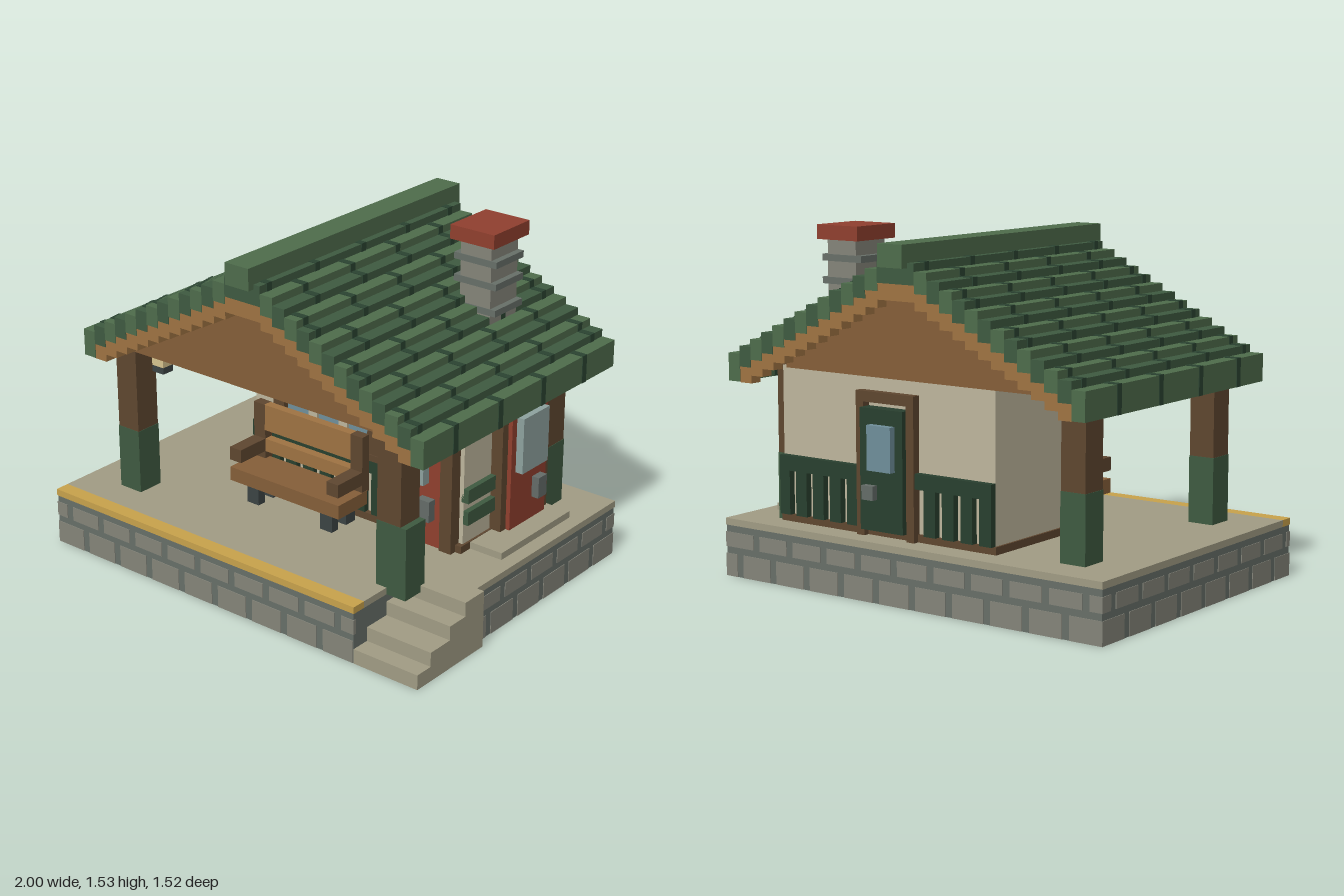
import * as THREE from 'three';

const C = {
  stone: 0x85857a, mortar: 0x687069, deck: 0xa29d85, yellow: 0xc9a34c, wall: 0xbfb79e,
  brown: 0x5f4730, wood: 0x865f39, lightWood: 0xa07443, red: 0x91402f, grey: 0x656d69,
  iron: 0x3c4444, glass: 0x8fa3a0, blue: 0x70909c, lamp: 0xd8c690,
  green: 0x3f5b41, greenLight: 0x4f6d4c, greenDark: 0x2b4432, doorGreen: 0x29402f,
};
const mats = {};
const mat = (c) => (mats[c] ??= new THREE.MeshStandardMaterial({ color: C[c], flatShading: true }));

export function createModel() {
  const root = new THREE.Group();
  root.name = 'porchHouse';
  const group = (name) => {
    const g = new THREE.Group();
    g.name = name;
    root.add(g);
    return g;
  };
  // Box given by its extents on each axis
  const box = (parent, name, color, x0, x1, y0, y1, z0, z1) => {
    const m = new THREE.Mesh(new THREE.BoxGeometry(x1 - x0, y1 - y0, z1 - z0), mat(color));
    m.position.set((x0 + x1) / 2, (y0 + y1) / 2, (z0 + z1) / 2);
    m.name = name;
    parent.add(m);
  };

  // Platform: mortar core, brick faces, deck slab and yellow edge
  const base = group('platform');
  box(base, 'core', 'mortar', -0.997, 0.962, 0, 0.225, -0.697, 0.32);
  box(base, 'core', 'mortar', -0.997, 0.677, 0, 0.225, 0.32, 0.752);
  box(base, 'deck', 'deck', -1, 0.965, 0.225, 0.255, -0.7, 0.32);
  box(base, 'deck', 'deck', -1, 0.68, 0.225, 0.255, 0.32, 0.69);
  box(base, 'edgeStrip', 'yellow', -1, 0.68, 0.225, 0.255, 0.69, 0.755);
  const bricks = (from, to, place) => {
    [[0, 0.1], [0.13, 0.195]].forEach(([y0, y1], row) => {
      for (let a = from - row * 0.095; a < to; a += 0.19) {
        const s = Math.max(a, from), e = Math.min(a + 0.155, to);
        if (e - s > 0.01) place(s, e, y0, y1);
      }
    });
  };
  bricks(-1, 0.68, (s, e, a, b) => box(base, 'brick', 'stone', s, e, a, b, 0.74, 0.755));
  bricks(-1, 0.965, (s, e, a, b) => box(base, 'brick', 'stone', s, e, a, b, -0.7, -0.685));
  bricks(-0.7, 0.755, (s, e, a, b) => box(base, 'brick', 'stone', -1, -0.985, a, b, s, e));
  bricks(-0.7, 0.32, (s, e, a, b) => box(base, 'brick', 'stone', 0.95, 0.965, a, b, s, e));

  // Corner stairs
  const stairs = group('stairs');
  [[0.755, 0.67], [0.67, 0.545], [0.545, 0.445], [0.445, 0.32]].forEach(([z1, z0], i) =>
    box(stairs, 'step', 'deck', 0.68, 1, 0, 0.066 + i * 0.063, z0, z1));

  // House body with baseboard
  const house = group('house');
  box(house, 'walls', 'wall', -0.4, 0.73, 0.255, 0.93, -0.575, 0.1);
  box(house, 'baseboard', 'brown', -0.41, 0.74, 0.255, 0.288, -0.585, 0.125);

  // Slatted wainscot on front and back, plain rails on the right
  const wainscot = (x0, x1, z0, z1) => {
    box(house, 'wainscotRail', 'doorGreen', x0, x1, 0.48, 0.545, z0, z1);
    for (let x = x0; x < x1 - 0.02; x += 0.095)
      box(house, 'wainscotSlat', 'doorGreen', x, Math.min(x + 0.06, x1), 0.288, 0.48, z0, z1);
  };
  wainscot(-0.4, 0.37, 0.09, 0.125);
  wainscot(-0.4, -0.01, -0.605, -0.57);
  wainscot(0.295, 0.73, -0.605, -0.57);
  for (const y of [0.38, 0.48])
    box(house, 'sideRail', 'green', 0.72, 0.755, y, y + 0.062, -0.09, 0.1);

  // Front window
  const win = group('frontWindow');
  box(win, 'awning', 'doorGreen', -0.305, 0.345, 0.865, 0.915, 0.09, 0.19);
  box(win, 'pane', 'blue', -0.21, 0.25, 0.57, 0.865, 0.09, 0.11);
  for (const x of [-0.27, 0.25])
    box(win, 'jamb', 'brown', x, x + 0.06, 0.55, 0.865, 0.09, 0.135);
  box(win, 'sill', 'brown', -0.27, 0.31, 0.546, 0.575, 0.09, 0.14);
  for (const x of [-0.08, 0.085])
    box(win, 'muntin', 'wall', x, x + 0.047, 0.575, 0.865, 0.1, 0.125);
  box(win, 'crossbar', 'wall', -0.24, 0.265, 0.705, 0.765, 0.1, 0.14);

  // Front door
  const fd = group('frontDoor');
  box(fd, 'jamb', 'brown', 0.365, 0.425, 0.255, 0.9, 0.09, 0.157);
  box(fd, 'jamb', 'brown', 0.65, 0.71, 0.255, 0.9, 0.09, 0.157);
  box(fd, 'lintel', 'brown', 0.425, 0.65, 0.865, 0.9, 0.09, 0.157);
  box(fd, 'leaf', 'red', 0.425, 0.65, 0.26, 0.865, 0.09, 0.15);
  box(fd, 'glass', 'glass', 0.46, 0.588, 0.545, 0.795, 0.14, 0.19);
  box(fd, 'handle', 'grey', 0.555, 0.62, 0.385, 0.48, 0.14, 0.19);

  // Side door with threshold slab
  const sd = group('sideDoor');
  box(sd, 'jamb', 'brown', 0.72, 0.785, 0.255, 0.93, -0.128, -0.09);
  box(sd, 'jamb', 'brown', 0.72, 0.785, 0.255, 0.93, -0.43, -0.385);
  box(sd, 'lintel', 'brown', 0.72, 0.785, 0.87, 0.93, -0.385, -0.128);
  box(sd, 'leaf', 'red', 0.72, 0.805, 0.285, 0.87, -0.385, -0.128);
  box(sd, 'glass', 'glass', 0.79, 0.84, 0.545, 0.795, -0.345, -0.16);
  box(sd, 'handle', 'grey', 0.79, 0.84, 0.385, 0.48, -0.345, -0.285);
  box(sd, 'threshold', 'deck', 0.72, 0.9, 0.255, 0.286, -0.44, 0.06);

  // Back door
  const bd = group('backDoor');
  for (const x of [-0.01, 0.255])
    box(bd, 'jamb', 'brown', x, x + 0.04, 0.255, 0.865, -0.612, -0.57);
  box(bd, 'lintel', 'brown', 0.03, 0.255, 0.82, 0.865, -0.612, -0.57);
  box(bd, 'leaf', 'doorGreen', 0.03, 0.255, 0.287, 0.8, -0.635, -0.57);
  box(bd, 'glass', 'blue', 0.07, 0.195, 0.545, 0.735, -0.665, -0.63);
  box(bd, 'handle', 'grey', 0.165, 0.225, 0.42, 0.48, -0.665, -0.63);

  // Porch posts with painted bases
  const posts = group('posts');
  const post = (x0, x1, z0, z1, y0) => {
    box(posts, 'postBase', 'green', x0, x1, y0, 0.545, z0, z1);
    box(posts, 'post', 'brown', x0 + 0.002, x1 - 0.002, 0.545, 0.96, z0 + 0.002, z1 - 0.002);
  };
  post(-0.81, -0.69, 0.42, 0.545, 0.255);
  post(-0.81, -0.69, -0.54, -0.415, 0.255);
  post(0.625, 0.748, 0.42, 0.545, 0.225);
  post(0.65, 0.775, -0.565, -0.415, 0.255);
  box(posts, 'postGuard', 'green', 0.748, 0.775, 0.225, 0.545, 0.42, 0.545);

  // Lanterns
  const lamps = group('lanterns');
  for (const [x, z] of [[-0.69, 0.385], [0.585, 0.385], [0.3, 0.16]]) {
    box(lamps, 'lampGlass', 'lamp', x, x + 0.065, 0.83, 0.895, z, z + 0.06);
    box(lamps, 'lampFoot', 'iron', x, x + 0.065, 0.8, 0.83, z, z + 0.06);
  }

  // Bench
  const bench = group('bench');
  box(bench, 'seat', 'wood', -0.335, 0.27, 0.352, 0.415, 0.16, 0.35);
  box(bench, 'backBoard', 'lightWood', -0.275, 0.205, 0.55, 0.67, 0.15, 0.19);
  box(bench, 'backBoard', 'lightWood', -0.275, 0.205, 0.45, 0.51, 0.15, 0.19);
  for (const x of [-0.335, 0.205]) {
    box(bench, 'arm', 'brown', x, x + 0.063, 0.45, 0.51, 0.19, 0.35);
    box(bench, 'backUpright', 'brown', x, x + 0.063, 0.41, 0.67, 0.145, 0.19);
  }
  for (const x of [-0.27, 0.14])
    for (const [z0, z1] of [[0.16, 0.22], [0.275, 0.315]])
      box(bench, 'leg', 'iron', x, x + 0.065, 0.255, 0.352, z0, z1);

  // Stepped gable roof with joints, barge boards and gable infill
  const roof = group('roof');
  const cx = -0.0175, half = 0.9175, w = half / 14.5, rise = 0.0335;
  const top = (i) => 0.985 + rise * i;
  for (let i = 0; i < 14; i++) {
    const outer = half - w * i, inner = i === 13 ? 0 : outer - w;
    const bottom = i === 0 ? 0.865 : top(i) - 0.088;
    const course = Math.ceil(i / 2);
    for (const s of [-1, 1]) {
      const xa = cx + (s < 0 ? -outer : inner), xb = cx + (s < 0 ? -inner : outer);
      box(roof, 'tileRow', i % 2 ? 'green' : 'greenLight', xa, xb, bottom, top(i), -0.73, 0.605);
      for (let z = course % 2 ? -0.65 : -0.5; z < 0.59; z += 0.3)
        box(roof, 'tileJoint', 'greenDark', xa - 0.003, xb + 0.003, bottom, top(i) + 0.003, z - 0.015, z + 0.015);
      if (i > 0) for (const z of [-0.727, 0.545])
        box(roof, 'bargeBoard', 'lightWood', xa, xb, bottom - 0.068, bottom, z, z + 0.057);
    }
    if (outer < 0.76) {
      const low = Math.max(0.92, bottom - rise);
      for (const z of [-0.577, 0.42])
        box(roof, 'gable', 'wood', cx - outer, cx + outer, low > 0.99 ? low : 0.92, bottom, z, z + 0.123);
    }
  }
  box(roof, 'ridgeCap', 'greenLight', cx - 0.0625, cx + 0.0625, 1.4, 1.495, -0.765, 0.635);

  // Chimney with protruding courses and cap
  const chimney = group('chimney');
  box(chimney, 'stack', 'stone', 0.43, 0.585, 1.08, 1.465, -0.443, -0.255);
  for (const y of [1.16, 1.275, 1.372])
    box(chimney, 'band', 'mortar', 0.398, 0.613, y, y + 0.029, -0.446, -0.252);
  box(chimney, 'cap', 'red', 0.395, 0.617, 1.465, 1.527, -0.475, -0.225);

  return root;
}
